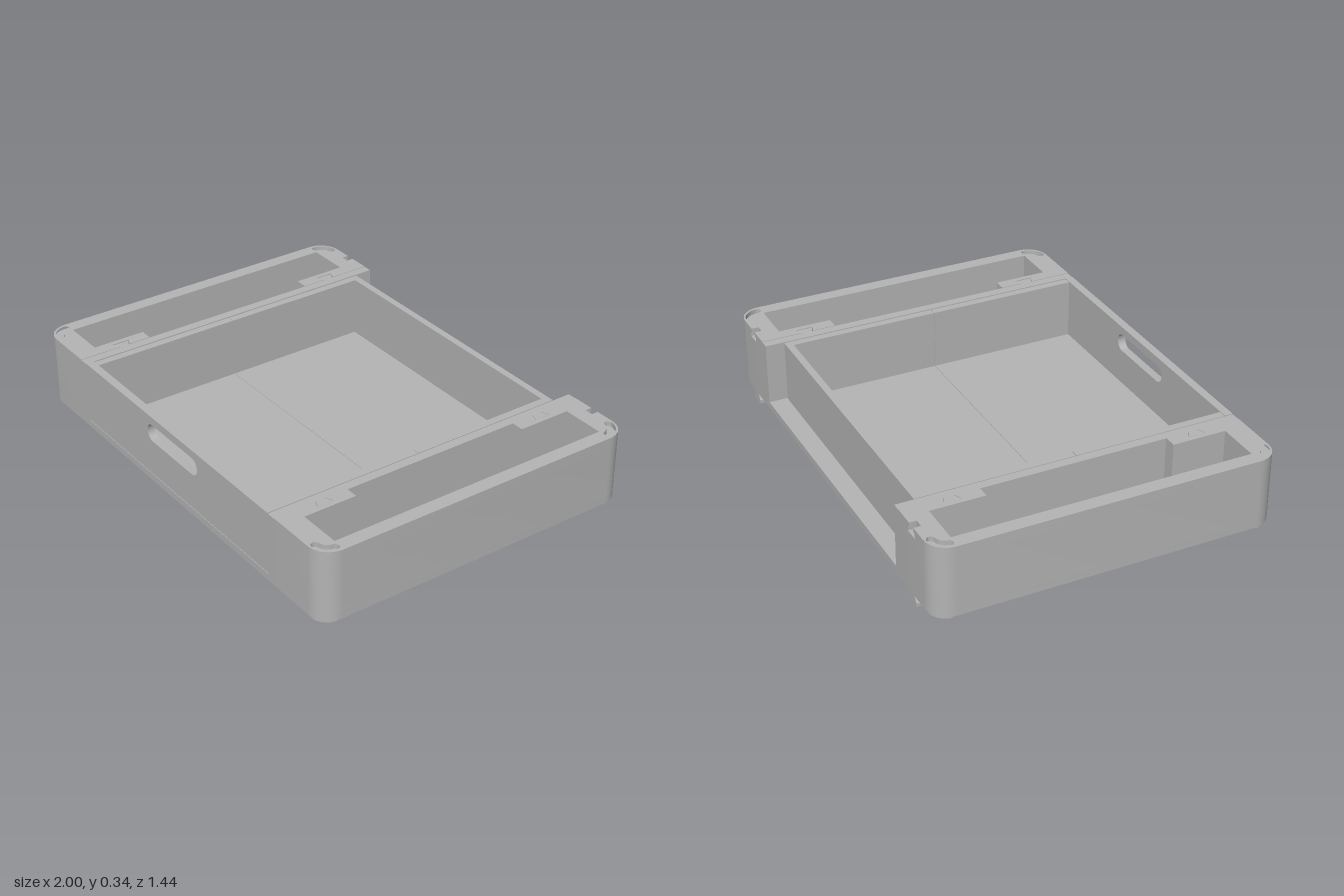
import * as THREE from 'three';
import { toCreasedNormals } from 'three/addons/utils/BufferGeometryUtils.js';

const grey = new THREE.MeshStandardMaterial({ color: 0xb4b4b4 });
grey.name = 'plainGrey';

const toPoints = (list) => list.map(([x, z]) => new THREE.Vector2(x, z));

function addMesh(parent, name, geometry) {
  const mesh = new THREE.Mesh(toCreasedNormals(geometry, 0.5), grey);
  mesh.name = name;
  parent.add(mesh);
  return mesh;
}

// Horizontal slab from a plan outline of [x, z] points
function slab(parent, name, outline, y0, y1, holes = []) {
  const shape = new THREE.Shape(toPoints(outline));
  holes.forEach((h) => shape.holes.push(new THREE.Path(toPoints(h))));
  const geometry = new THREE.ExtrudeGeometry(shape, { depth: y1 - y0, bevelEnabled: false });
  geometry.rotateX(Math.PI / 2).translate(0, y1, 0);
  return addMesh(parent, name, geometry);
}

function box(parent, name, x0, x1, y0, y1, z0, z1) {
  const geometry = new THREE.BoxGeometry(x1 - x0, y1 - y0, z1 - z0);
  geometry.translate((x0 + x1) / 2, (y0 + y1) / 2, (z0 + z1) / 2);
  return addMesh(parent, name, geometry);
}

const rect = (x0, x1, z0, z1) => [[x0, z0], [x1, z0], [x1, z1], [x0, z1]];

function arc(cx, cz, r, a0, a1, n = 10) {
  return Array.from({ length: n + 1 }, (_, i) => {
    const a = a0 + ((a1 - a0) * i) / n;
    return [cx + r * Math.cos(a), cz + r * Math.sin(a)];
  });
}

// Curved slot that follows a rounded corner; e = +1 front, -1 back
function kidney(e) {
  const a0 = 0.16, a1 = Math.PI / 2 - 0.16, r = 0.06, w = 0.017;
  const cx = 0.91, cz = 0.635;
  const end = (a) => [cx + r * Math.cos(a), cz + r * Math.sin(a)];
  return [
    ...arc(cx, cz, r + w, a0, a1),
    ...arc(...end(a1), w, a1, a1 + Math.PI, 6).slice(1, -1),
    ...arc(cx, cz, r - w, a1, a0),
    ...arc(...end(a0), w, a0 + Math.PI, a0 + 2 * Math.PI, 6).slice(1, -1),
  ].map(([x, z]) => [x, z * e]);
}

// Dovetail in the inner edge of a side tray, running towards -z
const dovetail = (z, g = 0) => [
  [0.7, z + 0.02 + g], [0.73 + g, z + 0.035 + g], [0.73 + g, z - 0.035 - g], [0.7, z - 0.02 - g],
];

// Plan of a side tray; pocket opens the corner blocks, notch cuts the back edge
function trayPlan(pocket, notch) {
  const gap = 0.003, q = Math.PI / 2;
  const back = notch
    ? [[0.81 - notch, -0.72], [0.81 - notch, -0.69], [0.81 + notch, -0.69], [0.81 + notch, -0.72]]
    : [];
  const inner = pocket
    ? [[0.7, 0.395], [0.755, 0.395], [0.755, 0.625], [0.94, 0.625],
      [0.94, -0.625], [0.755, -0.625], [0.755, -0.395], [0.7, -0.395]]
    : rect(0.7, 0.94, 0.395, -0.395).map(([x, z]) => [x, z]);
  const open = pocket ? inner : [[0.7, 0.395], [0.94, 0.395], [0.94, -0.395], [0.7, -0.395]];
  return [
    [0.7, -0.72], ...back,
    ...arc(0.91, -0.63, 0.09, -q, 0), ...arc(0.91, 0.63, 0.09, 0, q),
    [0.7, 0.72], ...dovetail(0.515, gap), ...open, ...dovetail(-0.52, gap),
  ];
}

function addSide(parent, s) {
  const flip = (list) => list.map(([x, z]) => [x * s, z]);
  const kidneys = [kidney(1), kidney(-1)];

  // Tray in layers: floor, walls, and the notched, slotted rim
  slab(parent, 'trayFloor', flip(trayPlan(false, 0)), 0.04, 0.07);
  slab(parent, 'trayWalls', flip(trayPlan(true, 0)), 0.07, 0.3);
  slab(parent, 'trayNotchLayer', flip(trayPlan(true, 0.03)), 0.3, 0.32);
  slab(parent, 'trayRim', flip(trayPlan(true, 0.018)), 0.32, 0.34, kidneys.map(flip));

  // Stacking feet under the corners
  kidneys.forEach((k) => slab(parent, 'foot', flip(k), 0.025, 0.04));

  // Rail beside the drawer, with tongues keyed into the tray
  slab(parent, 'rail', flip([
    [0.66, -0.72], [0.66, 0.72], [0.7, 0.72],
    ...dovetail(0.515), ...dovetail(-0.52), [0.7, -0.72],
  ]), 0.04, 0.338);

  // Flared tongue hanging below the back edge
  const tongue = new THREE.Shape(toPoints([
    [-0.03, 0], [0.03, 0], [0.03, 0.015], [0.016, 0.04], [-0.016, 0.04], [-0.03, 0.015],
  ]));
  const geometry = new THREE.ExtrudeGeometry(tongue, { depth: 0.03, bevelEnabled: false });
  geometry.translate(0.81 * s, 0, -0.72);
  addMesh(parent, 'backTongue', geometry);
}

function addDrawer(parent) {
  const x = 0.655, t = 0.033, y0 = 0.072, y1 = 0.337, seam = 0.03;

  // Two floor and wall halves that meet at a fine seam
  [[-0.64, seam - 0.001], [seam + 0.001, 0.685]].forEach(([z0, z1]) => {
    box(parent, 'drawerFloor', -x, x, 0.066, 0.078, z0, z1);
    [-1, 1].forEach((s) => {
      const [a, b] = s > 0 ? [x - t, x] : [-x, t - x];
      box(parent, 'drawerSideWall', a, b, y0, y1, z0, z1);
    });
  });
  box(parent, 'drawerBackWall', t - x, x - t, y0, y1, -0.64, -0.61);

  // Front panel with a rounded grip hole
  const panel = new THREE.Shape(toPoints(rect(-0.658, 0.658, 0.073, 0.34)));
  const r = 0.035, h = Math.PI / 2;
  panel.holes.push(new THREE.Path(toPoints([
    ...arc(0.145, 0.27, r, 0, h, 6), ...arc(-0.145, 0.27, r, h, 2 * h, 6),
    ...arc(-0.145, 0.265, r, 2 * h, 3 * h, 6), ...arc(0.145, 0.265, r, 3 * h, 4 * h, 6),
  ])));
  const geometry = new THREE.ExtrudeGeometry(panel, { depth: 0.035, bevelEnabled: false });
  geometry.translate(0, 0, 0.685);
  addMesh(parent, 'drawerFront', geometry);
}

export function createModel() {
  const model = new THREE.Group();
  model.name = 'drawerUnit';

  [1, -1].forEach((s) => {
    const side = new THREE.Group();
    side.name = s > 0 ? 'leftSide' : 'rightSide';
    addSide(side, s);
    model.add(side);
  });

  // Base frame under the drawer, open in the middle
  slab(model, 'baseFrame', rect(-0.66, 0.66, -0.72, 0.72), 0.04, 0.07,
    [rect(-0.645, 0.645, -0.61, 0.62)]);

  const drawer = new THREE.Group();
  drawer.name = 'drawer';
  addDrawer(drawer);
  model.add(drawer);
  return model;
}
